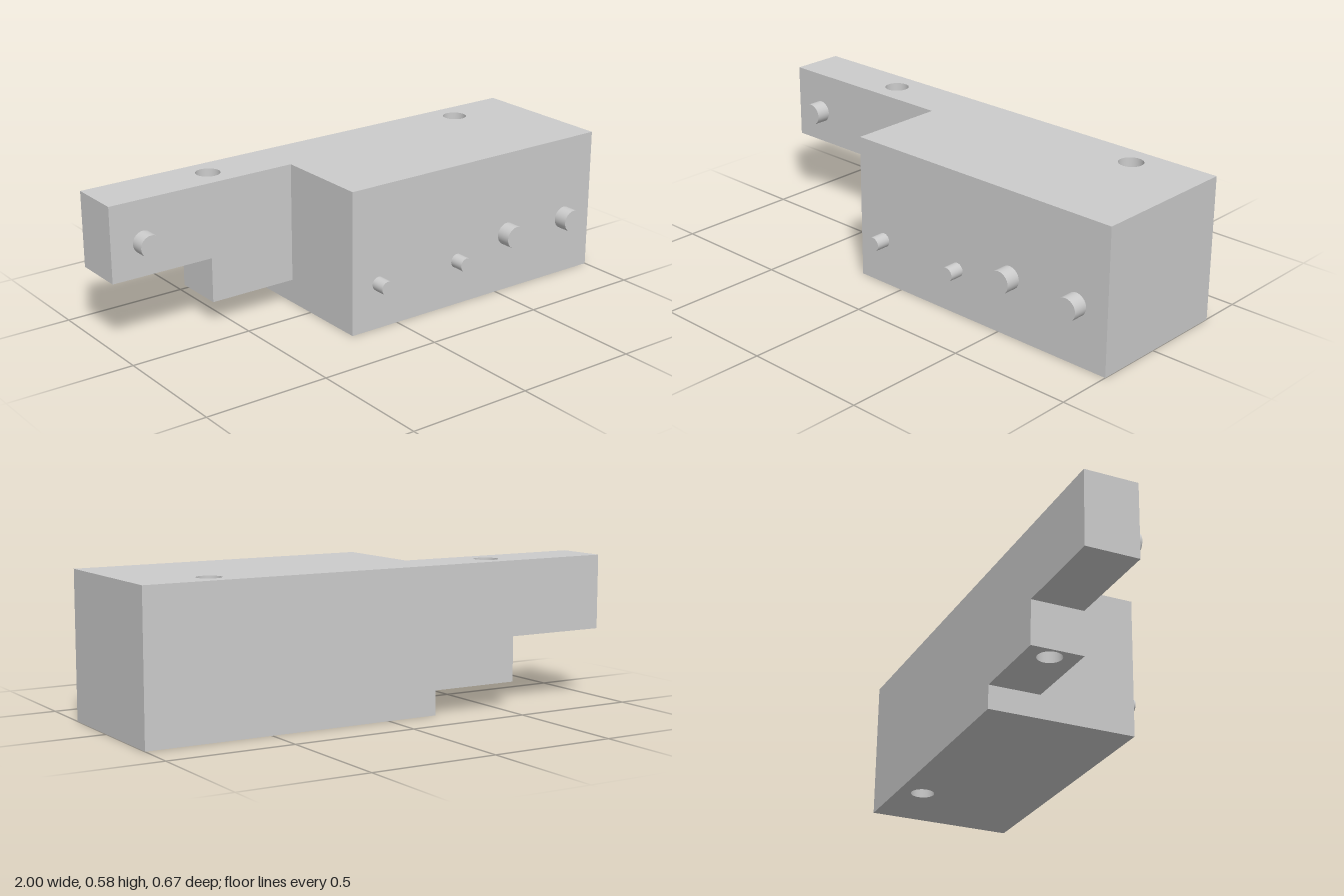
import * as THREE from 'three';
import { mergeGeometries } from 'three/addons/utils/BufferGeometryUtils.js';

const TOP = 0.576, BACK = -0.333, ARM_FRONT = -0.122, FRONT = 0.273;
const X0 = -1, X1 = -0.578, X2 = -0.212, X3 = 1; // stepped lengths, arm end to block end
const ARM_Y = 0.277, MID_Y = 0.097;
const HOLE_R = 0.048, HOLE_Z = -0.23;
const HOLES = [{ x: -0.517, bottom: MID_Y }, { x: 0.695, bottom: 0 }];

// Flat face from corner points, with optional round holes
function face(points, holes = []) {
  const shape = new THREE.Shape(points.map(([a, b]) => new THREE.Vector2(a, b)));
  for (const [a, b] of holes) {
    shape.holes.push(new THREE.Path().absarc(a, b, HOLE_R, 0, Math.PI * 2, true));
  }
  return new THREE.ShapeGeometry(shape, 24);
}
const rect = (a0, a1, b0, b1) => [[a0, b0], [a1, b0], [a1, b1], [a0, b1]];

// Faces turned to each direction
const up = (pts, y, holes = []) =>
  face(pts.map(([x, z]) => [x, -z]), holes.map(([x, z]) => [x, -z])).rotateX(-Math.PI / 2).translate(0, y, 0);
const down = (pts, y, holes) => face(pts, holes).rotateX(Math.PI / 2).translate(0, y, 0);
const front = (pts, z) => face(pts).translate(0, 0, z);
const back = (pts, z) => face(pts.map(([x, y]) => [-x, y])).rotateY(Math.PI).translate(0, 0, z);
const leftSide = (pts, x) => face(pts.map(([z, y]) => [-z, y])).rotateY(Math.PI / 2).translate(x, 0, 0);
const rightSide = (pts, x) => face(pts).rotateY(-Math.PI / 2).translate(x, 0, 0);

export function createModel() {
  const model = new THREE.Group();
  model.name = 'steppedBlock';
  const material = new THREE.MeshStandardMaterial({ color: 0xcccccc });
  const boreMaterial = new THREE.MeshStandardMaterial({ color: 0xcccccc, side: THREE.BackSide });

  const add = (name, geometry, mat = material) => {
    const mesh = new THREE.Mesh(geometry, mat);
    mesh.name = name;
    model.add(mesh);
    return mesh;
  };

  // Body: block, middle step and raised arm as one closed skin
  const holes = HOLES.map(h => [h.x, HOLE_Z]);
  const armProfile = [[X0, ARM_Y], [X1, ARM_Y], [X1, MID_Y], [X2, MID_Y], [X2, TOP], [X0, TOP]];
  const backProfile = [
    [X0, ARM_Y], [X1, ARM_Y], [X1, MID_Y], [X2, MID_Y], [X2, 0], [X3, 0], [X3, TOP], [X0, TOP],
  ];
  const plan = [[X0, BACK], [X3, BACK], [X3, FRONT], [X2, FRONT], [X2, ARM_FRONT], [X0, ARM_FRONT]];
  add('body', mergeGeometries([
    up(plan, TOP, holes),
    down(rect(X0, X1, BACK, ARM_FRONT), ARM_Y),
    down(rect(X1, X2, BACK, ARM_FRONT), MID_Y, [holes[0]]),
    down(rect(X2, X3, BACK, FRONT), 0, [holes[1]]),
    front(armProfile, ARM_FRONT),
    front(rect(X2, X3, 0, TOP), FRONT),
    back(backProfile, BACK),
    leftSide(rect(BACK, FRONT, 0, TOP), X3),
    rightSide(rect(BACK, ARM_FRONT, ARM_Y, TOP), X0),
    rightSide(rect(BACK, ARM_FRONT, MID_Y, ARM_Y), X1),
    rightSide([
      [BACK, 0], [FRONT, 0], [FRONT, TOP], [ARM_FRONT, TOP], [ARM_FRONT, MID_Y], [BACK, MID_Y],
    ], X2),
  ]));

  // Walls of the two vertical through holes
  for (const { x, bottom } of HOLES) {
    const bore = new THREE.CylinderGeometry(HOLE_R, HOLE_R, TOP - bottom, 48, 1, true);
    add('mountingHole', bore, boreMaterial).position.set(x, (TOP + bottom) / 2, HOLE_Z);
  }

  // Short round pins on the front faces
  const PIN = 0.06;
  const pins = [
    ['armPin', -0.865, 0.411, ARM_FRONT, 0.044],
    ['smallPin', -0.09, 0.184, FRONT, 0.028],
    ['smallPin', 0.295, 0.184, FRONT, 0.028],
    ['largePin', 0.552, 0.238, FRONT, 0.045],
    ['largePin', 0.86, 0.238, FRONT, 0.045],
  ];
  for (const [name, x, y, z, r] of pins) {
    const pin = new THREE.CylinderGeometry(r, r, PIN, 48).rotateX(Math.PI / 2);
    add(name, pin).position.set(x, y, z + PIN / 2);
  }
  return model;
}
